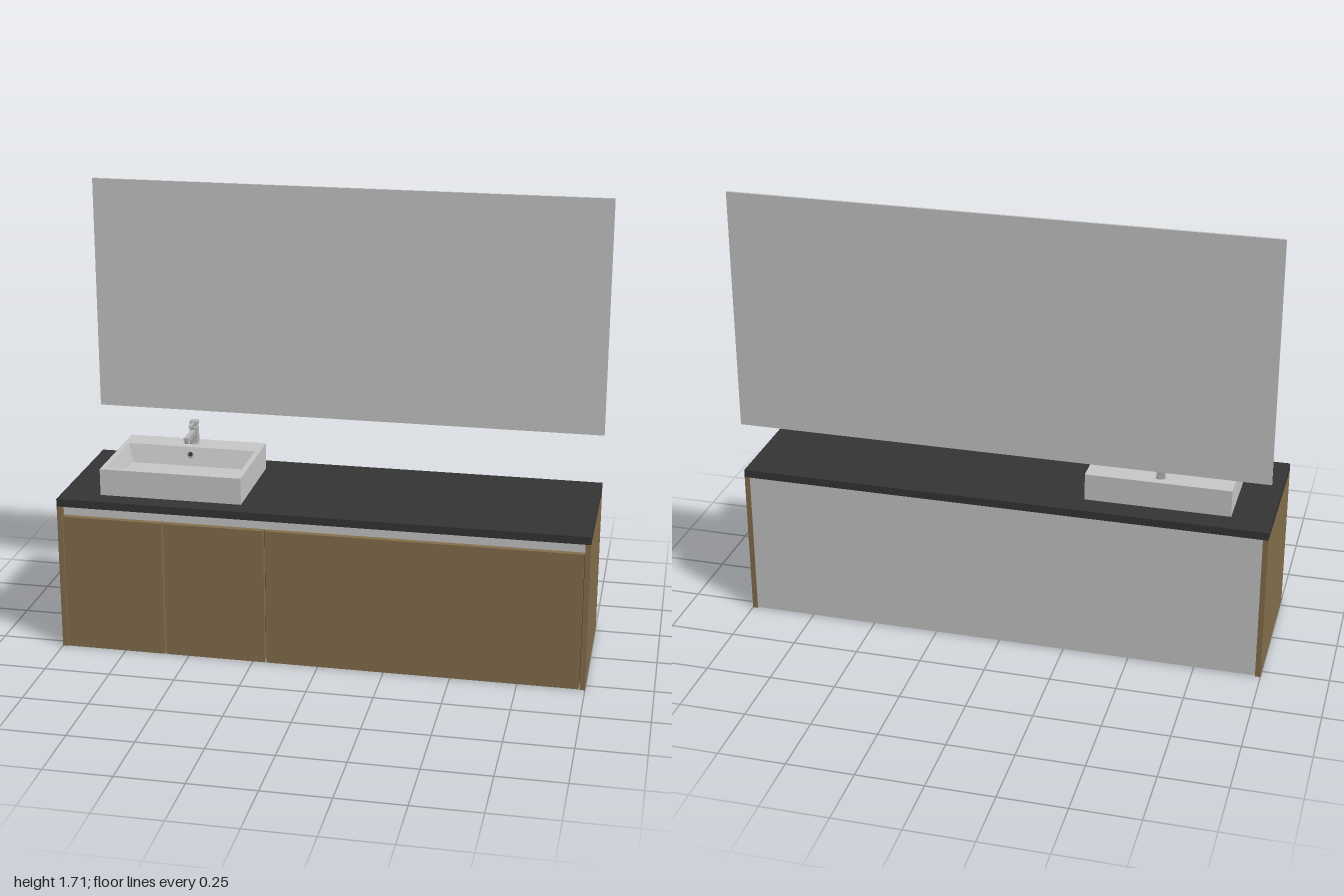
import * as THREE from 'three';

const paint = (name, color) => {
  const m = new THREE.MeshStandardMaterial({ color });
  m.name = name;
  return m;
};

export function createModel() {
  const wood = paint('oak wood', 0x86704d);
  const stone = paint('dark stone', 0x353535);
  const pale = paint('pale grey', 0xc9c9c9);
  const steel = paint('brushed steel', 0xb8b8b8);
  const dark = paint('shadow gap', 0x4a402c);

  const model = new THREE.Group();
  model.name = 'vanityUnit';

  const add = (name, geometry, material, parent = model) => {
    const mesh = new THREE.Mesh(geometry, material);
    mesh.name = name;
    parent.add(mesh);
    return mesh;
  };
  // Box given by its limits on each axis
  const box = (name, x0, x1, y0, y1, z0, z1, material, parent) => {
    const mesh = add(name, new THREE.BoxGeometry(x1 - x0, y1 - y0, z1 - z0), material, parent);
    mesh.position.set((x0 + x1) / 2, (y0 + y1) / 2, (z0 + z1) / 2);
    return mesh;
  };
  const cylinder = (name, r, h, x, y, z, material, parent) => {
    const mesh = add(name, new THREE.CylinderGeometry(r, r, h, 24), material, parent);
    mesh.position.set(x, y, z);
    return mesh;
  };

  // Cabinet body
  const cabinet = new THREE.Group();
  cabinet.name = 'cabinet';
  model.add(cabinet);
  for (const s of [-1, 1]) {
    const side = box('sidePanel', -0.01, 0.01, 0, 0.572, -0.29, 0.29, wood, cabinet);
    side.position.x = s * 0.99;
  }
  box('backPanel', -0.98, 0.98, 0.003, 0.572, -0.288, -0.27, pale, cabinet);
  box('bottomPanel', -0.98, 0.98, 0.003, 0.02, -0.27, 0.268, pale, cabinet);
  box('doorBacking', -0.98, 0.98, 0.02, 0.53, 0.255, 0.268, dark, cabinet);
  box('gripChannel', -0.98, 0.98, 0.53, 0.572, 0.25, 0.268, pale, cabinet);

  // Two doors and one wide drawer front, with narrow gaps
  const seams = [-0.98, -0.59, -0.2, 0.98];
  for (let i = 0; i < 3; i++) {
    box('doorFront', seams[i] + 0.003, seams[i + 1] - 0.003, 0.002, 0.533, 0.268, 0.29, wood, cabinet);
  }

  box('countertop', -1, 1, 0.572, 0.602, -0.29, 0.29, stone);
  box('mirror', -1, 1, 0.795, 1.71, -0.292, -0.283, pale);

  // Basin: rectangular rings from the outer foot over the rim to the bowl floor
  const rings = [
    // x0, x1, z0, z1, y
    [-0.85, -0.305, -0.2, 0.215, 0.602],
    [-0.85, -0.305, -0.2, 0.215, 0.705],
    [-0.83, -0.325, -0.1, 0.197, 0.705],
    [-0.81, -0.345, -0.078, 0.175, 0.635],
  ].map(([x0, x1, z0, z1, y]) => [[x0, y, z1], [x1, y, z1], [x1, y, z0], [x0, y, z0]]);
  const points = [];
  const quad = (a, b, c, d) => points.push(...a, ...b, ...c, ...a, ...c, ...d);
  for (let r = 0; r < 3; r++) {
    for (let i = 0; i < 4; i++) {
      const j = (i + 1) % 4;
      quad(rings[r][i], rings[r][j], rings[r + 1][j], rings[r + 1][i]);
    }
  }
  quad(...rings[3]);
  quad(...[...rings[0]].reverse());
  const basinGeometry = new THREE.BufferGeometry();
  basinGeometry.setAttribute('position', new THREE.Float32BufferAttribute(points, 3));
  basinGeometry.computeVertexNormals();
  add('basin', basinGeometry, pale);

  // Drain with raised ring, and overflow hole in the back wall of the bowl
  const cx = -0.58;
  cylinder('drainHole', 0.022, 0.004, cx, 0.637, 0.045, stone);
  cylinder('drainPlug', 0.014, 0.008, cx, 0.639, 0.045, steel);
  const drainRing = add('drainRing', new THREE.TorusGeometry(0.022, 0.003, 8, 28), steel);
  drainRing.rotation.x = Math.PI / 2;
  drainRing.position.set(cx, 0.638, 0.045);
  const overflow = new THREE.Group();
  overflow.name = 'overflow';
  overflow.position.set(cx, 0.678, -0.09);
  overflow.rotation.x = -0.3;
  model.add(overflow);
  add('overflowRing', new THREE.TorusGeometry(0.011, 0.003, 8, 24), steel, overflow);
  add('overflowHole', new THREE.CylinderGeometry(0.01, 0.01, 0.004, 24), stone, overflow).rotation.x = Math.PI / 2;

  // Single-lever tap
  const tap = new THREE.Group();
  tap.name = 'tap';
  model.add(tap);
  cylinder('tapBase', 0.02, 0.004, cx, 0.707, -0.152, steel, tap);
  box('tapBody', cx - 0.015, cx + 0.015, 0.705, 0.772, -0.169, -0.137, steel, tap);
  cylinder('tapCartridge', 0.013, 0.012, cx, 0.776, -0.153, steel, tap);
  box('tapHead', cx - 0.015, cx + 0.015, 0.779, 0.797, -0.169, -0.137, steel, tap);
  box('tapLever', cx - 0.006, cx + 0.006, 0.787, 0.793, -0.137, -0.09, steel, tap);
  box('tapSpout', cx - 0.009, cx + 0.009, 0.746, 0.763, -0.137, -0.03, steel, tap);
  cylinder('tapOutlet', 0.007, 0.005, cx, 0.744, -0.041, dark, tap);

  return model;
}
